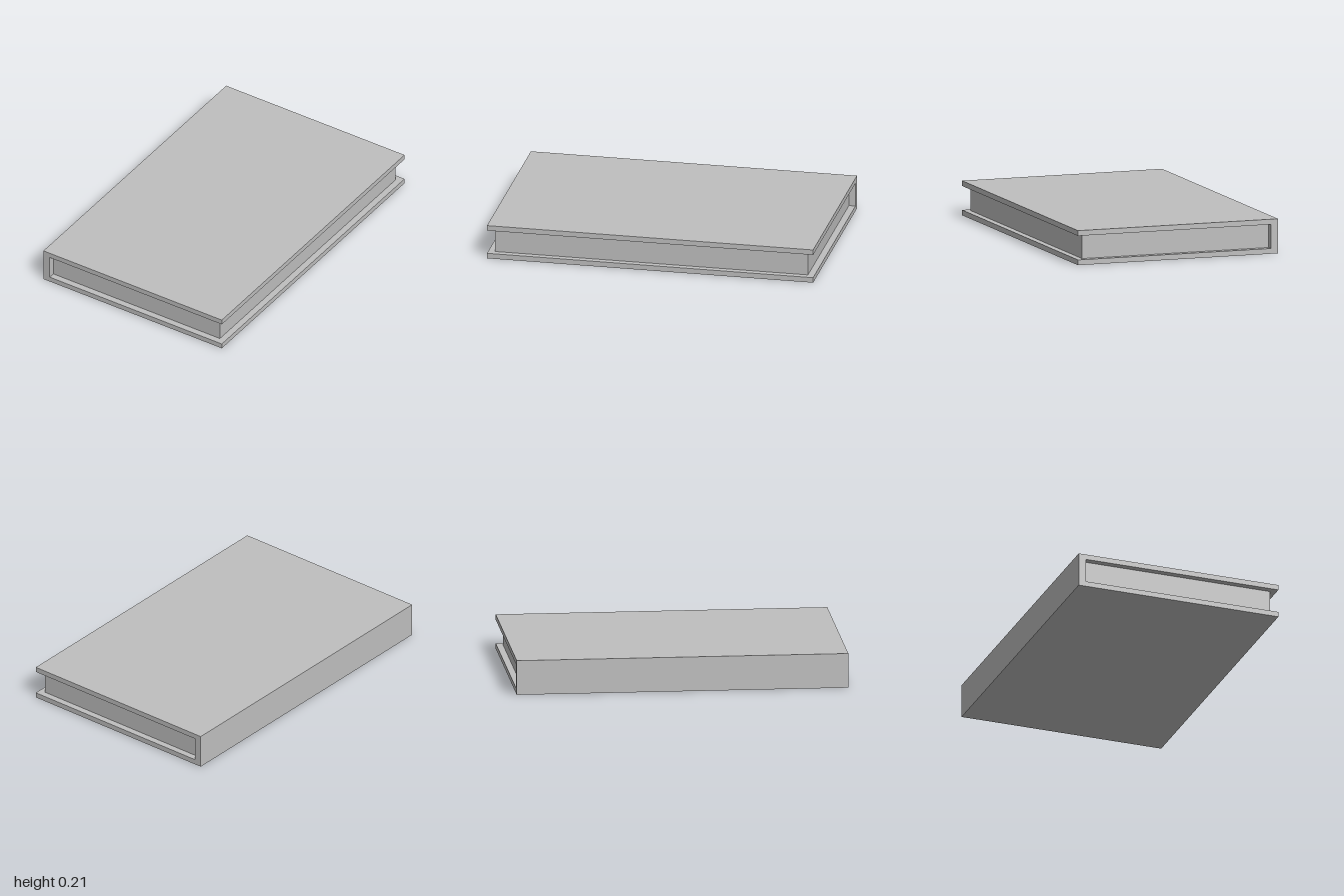
import * as THREE from 'three';

const WIDTH = 1.28, HEIGHT = 0.21, LENGTH = 2;
const BOARD = 0.032, SPINE = 0.045;

export function createModel() {
  const book = new THREE.Group();
  book.name = 'book';
  const grey = new THREE.MeshStandardMaterial({ color: 0xbfbfbf });
  grey.name = 'plain grey';

  // Cover: one C-shaped profile (spine on the right, two boards), run along z
  const x = WIDTH / 2;
  const profile = new THREE.Shape([
    [-x, 0], [x, 0], [x, BOARD], [-x + SPINE, BOARD],
    [-x + SPINE, HEIGHT - BOARD], [x, HEIGHT - BOARD], [x, HEIGHT], [-x, HEIGHT],
  ].map(([px, py]) => new THREE.Vector2(px, py)));
  const coverGeometry = new THREE.ExtrudeGeometry(profile, { depth: LENGTH, bevelEnabled: false });
  coverGeometry.translate(0, 0, -LENGTH / 2);
  const cover = new THREE.Mesh(coverGeometry, grey);
  cover.name = 'cover';

  // Page block: set back from the open edges, meeting the spine and both boards
  const left = -x + SPINE, right = 0.6;
  const pages = new THREE.Mesh(
    new THREE.BoxGeometry(right - left, HEIGHT - 2 * BOARD, 1.92), grey);
  pages.position.set((left + right) / 2, HEIGHT / 2, 0);
  pages.name = 'pages';

  book.add(cover, pages);
  return book;
}
